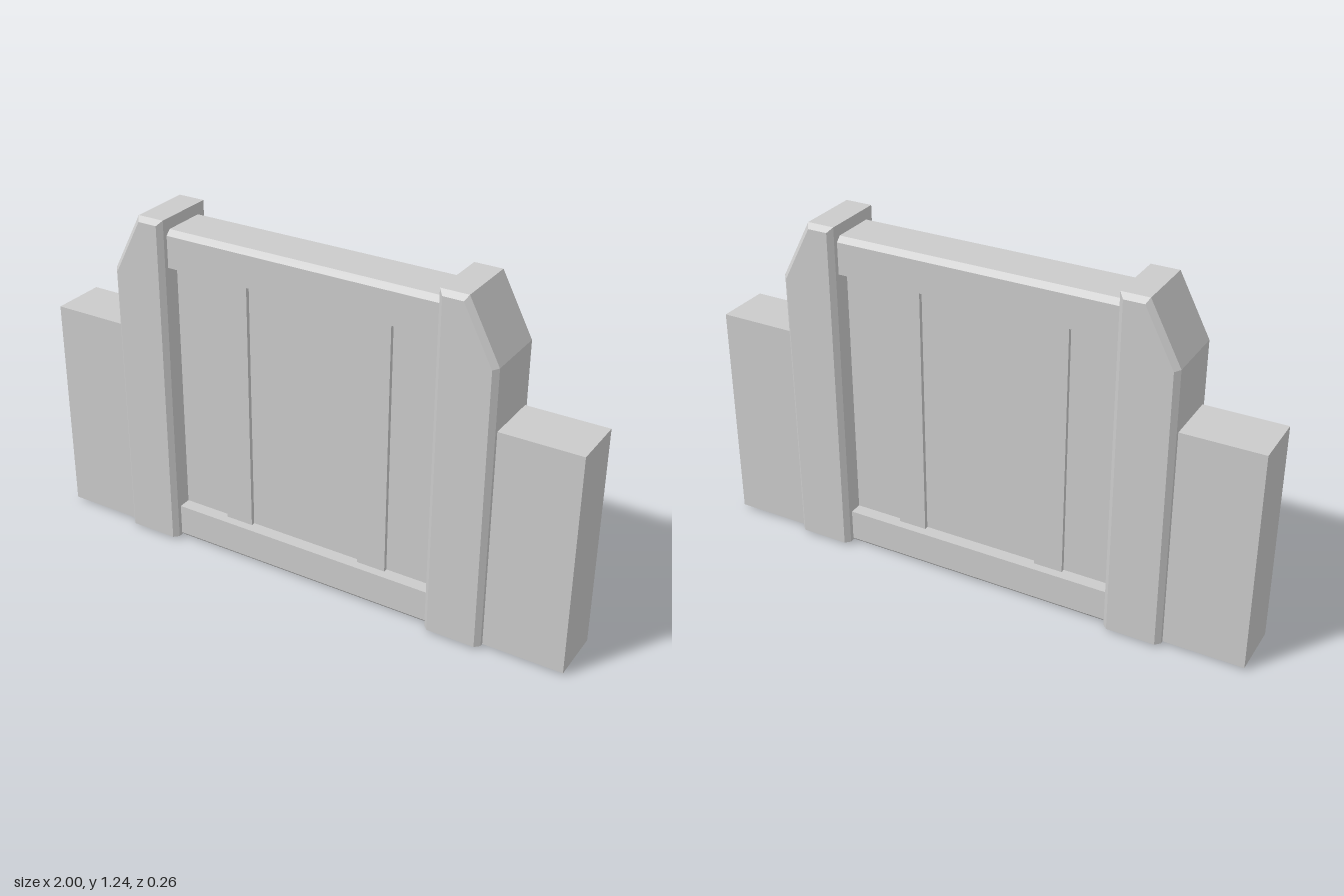
import * as THREE from 'three';

const material = new THREE.MeshStandardMaterial({ color: 0xcccccc, flatShading: true });

function add(group, name, geometry, x = 0, y = 0, z = 0) {
  const mesh = new THREE.Mesh(geometry, material);
  mesh.name = name;
  mesh.position.set(x, y, z);
  group.add(mesh);
}

const outline = (points) => new THREE.Shape(points.map(([x, y]) => new THREE.Vector2(x, y)));

// Bevelled post with a sloped outer shoulder and a flat foot
function postGeometry(side) {
  const foot = 0.01, bevel = 0.017, depth = 0.26;
  const points = [[0.507, foot], [0.715, foot], [0.715, 1.03], [0.605, 1.24], [0.507, 1.24]]
    .map(([x, y]) => [x * side, y]);
  if (side < 0) points.reverse();
  const geometry = new THREE.ExtrudeGeometry(outline(points), {
    depth: depth - 2 * bevel, bevelThickness: bevel, bevelSize: bevel,
    bevelOffset: -bevel, bevelSegments: 1,
  });
  geometry.translate(0, 0, bevel - depth / 2);
  const p = geometry.attributes.position;
  for (let i = 0; i < p.count; i++) if (p.getY(i) < 0.1) p.setY(i, foot);
  geometry.computeVertexNormals();
  return geometry;
}

// Rail along x, chamfered along its outer edges (y = outer) only
function railGeometry(inner, outer) {
  const h = 0.097, c = 0.018, shoulder = outer - Math.sign(outer - inner) * c;
  const shape = outline([[-h, inner], [h, inner], [h, shoulder], [h - c, outer], [c - h, outer], [-h, shoulder]]);
  const geometry = new THREE.ExtrudeGeometry(shape, { depth: 1.014, bevelEnabled: false });
  return geometry.translate(0, 0, -0.507).rotateY(Math.PI / 2);
}

export function createModel() {
  const gate = new THREE.Group();
  gate.name = 'gate';

  // Side walls and posts
  for (const [side, label] of [[1, 'left'], [-1, 'right']]) {
    add(gate, label + 'Post', postGeometry(side));
    add(gate, label + 'Wall', new THREE.BoxGeometry(0.3, 0.8, 0.2), side * 0.85, 0.41);
    // Raised batten showing on both faces of the panel
    add(gate, label + 'Batten', new THREE.BoxGeometry(0.106, 0.96, 0.13), side * 0.27, 0.6);
  }

  // Door panel between the rails
  add(gate, 'panel', new THREE.BoxGeometry(1.02, 0.96, 0.1), 0, 0.6);
  add(gate, 'topRail', railGeometry(1.068, 1.2));
  add(gate, 'bottomRail', railGeometry(0.132, 0));
  return gate;
}
